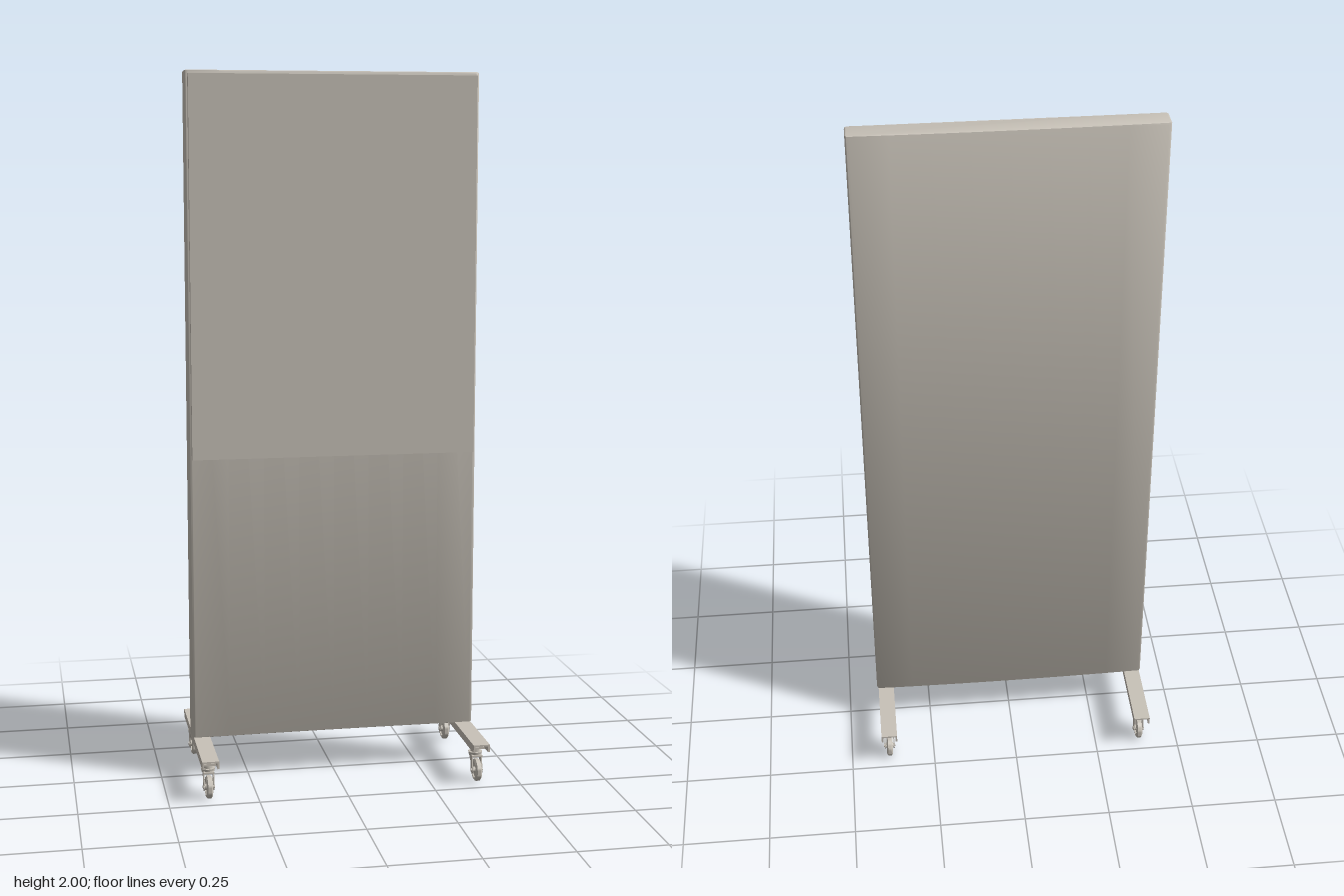
import * as THREE from 'three';
import { toCreasedNormals } from 'three/addons/utils/BufferGeometryUtils.js';

const paint = new THREE.MeshStandardMaterial({ color: 0xc8c2b8 });
paint.name = 'warmGrey';

function add(parent, name, geometry, x = 0, y = 0, z = 0) {
  const mesh = new THREE.Mesh(geometry, paint);
  mesh.name = name;
  mesh.position.set(x, y, z);
  parent.add(mesh);
  return mesh;
}

// Padded panel: gently bowed plan outline raised to full height
function panelGeometry() {
  const b = 0.005, w = 0.413 - b, r = 0.005;
  const front = 0.03 - b, back = 0.033 - b;
  const s = new THREE.Shape();
  s.moveTo(-w + r, -front);
  s.quadraticCurveTo(0, -front + 0.008, w - r, -front);
  s.quadraticCurveTo(w, -front, w, -front + r);
  s.lineTo(w, back - r);
  s.quadraticCurveTo(w, back, w - r, back);
  s.quadraticCurveTo(0, back + 0.009, -w + r, back);
  s.quadraticCurveTo(-w, back, -w, back - r);
  s.lineTo(-w, -front + r);
  s.quadraticCurveTo(-w, -front, -w + r, -front);
  const g = new THREE.ExtrudeGeometry(s, {
    depth: 1.88 - 2 * b, bevelThickness: b, bevelSize: b, bevelSegments: 2, curveSegments: 8,
  });
  g.rotateX(-Math.PI / 2).translate(0, 0.12 + b, 0);
  return toCreasedNormals(g, 0.6);
}

// Foot rail: channel section open at the bottom
function railGeometry() {
  const w = 0.0235, h = 0.022, t = 0.005;
  const pts = [[-w, 0], [-w + t, 0], [-w + t, h - t], [w - t, h - t], [w - t, 0], [w, 0], [w, h], [-w, h]];
  const s = new THREE.Shape(pts.map(([x, y]) => new THREE.Vector2(x, y)));
  return new THREE.ExtrudeGeometry(s, { depth: 0.487, bevelEnabled: false }).translate(0, 0, -0.2435);
}

// Swivel caster, trailing towards +z, with its wheel on the floor
function makeCaster() {
  const caster = new THREE.Group();
  caster.name = 'caster';
  const stemZ = -0.018;
  add(caster, 'mountPlate', new THREE.BoxGeometry(0.042, 0.006, 0.05), 0, 0.099, stemZ + 0.005);
  add(caster, 'stem', new THREE.CylinderGeometry(0.013, 0.013, 0.02, 16), 0, 0.087, stemZ);
  add(caster, 'swivelCollar', new THREE.CylinderGeometry(0.02, 0.018, 0.01, 20), 0, 0.077, stemZ);
  add(caster, 'forkCrown', new THREE.BoxGeometry(0.03, 0.005, 0.036), 0, 0.073, stemZ + 0.006);

  // Fork cheeks in the y-z plane
  const cheek = new THREE.Shape();
  cheek.moveTo(0.036, 0.075);
  cheek.lineTo(0, 0.075);
  cheek.lineTo(-0.008, 0.04);
  cheek.absarc(0, 0.032, 0.01, Math.PI * 0.8, Math.PI * 2, false);
  cheek.lineTo(0.014, 0.055);
  cheek.closePath();
  for (const side of [-1, 1]) {
    const g = new THREE.ExtrudeGeometry(cheek, { depth: 0.003, bevelEnabled: false });
    g.translate(0, 0, -0.0015).rotateY(Math.PI / 2);
    add(caster, 'forkCheek', g, side * 0.0135, 0, 0);
  }

  // Tyre and recessed hub in one revolved profile
  const profile = [[0, -0.011], [0.008, -0.011], [0.009, -0.005], [0.021, -0.005], [0.022, -0.009],
    [0.027, -0.009], [0.032, -0.005], [0.032, 0.005], [0.027, 0.009], [0.022, 0.009],
    [0.021, 0.005], [0.009, 0.005], [0.008, 0.011], [0, 0.011]];
  const wheel = new THREE.LatheGeometry(profile.map(([r, y]) => new THREE.Vector2(r, y)), 28);
  wheel.rotateZ(Math.PI / 2);
  add(caster, 'wheel', toCreasedNormals(wheel, 0.5), 0, 0.032, 0);
  const axle = new THREE.CylinderGeometry(0.005, 0.005, 0.034, 12).rotateZ(Math.PI / 2);
  add(caster, 'axle', axle, 0, 0.032, 0);
  return caster;
}

export function createModel() {
  const model = new THREE.Group();
  model.name = 'mobileScreen';

  add(model, 'panel', panelGeometry());
  add(model, 'frontBoard', new THREE.BoxGeometry(0.808, 1.06, 0.022), -0.001, 1.46, 0.035);

  // Foot rails with a caster at each end
  for (const side of [-1, 1]) {
    const foot = new THREE.Group();
    foot.name = side > 0 ? 'leftFoot' : 'rightFoot';
    foot.position.x = side * 0.385;
    add(foot, 'rail', railGeometry(), 0, 0.1, -0.001);
    for (const end of [-1, 1]) {
      const caster = makeCaster();
      caster.position.z = end * 0.19;
      // the cheeks lean back to the stem, so the crown always sits inboard
      caster.rotation.y = end > 0 ? 0 : Math.PI;
      foot.add(caster);
    }
    model.add(foot);
  }
  return model;
}
